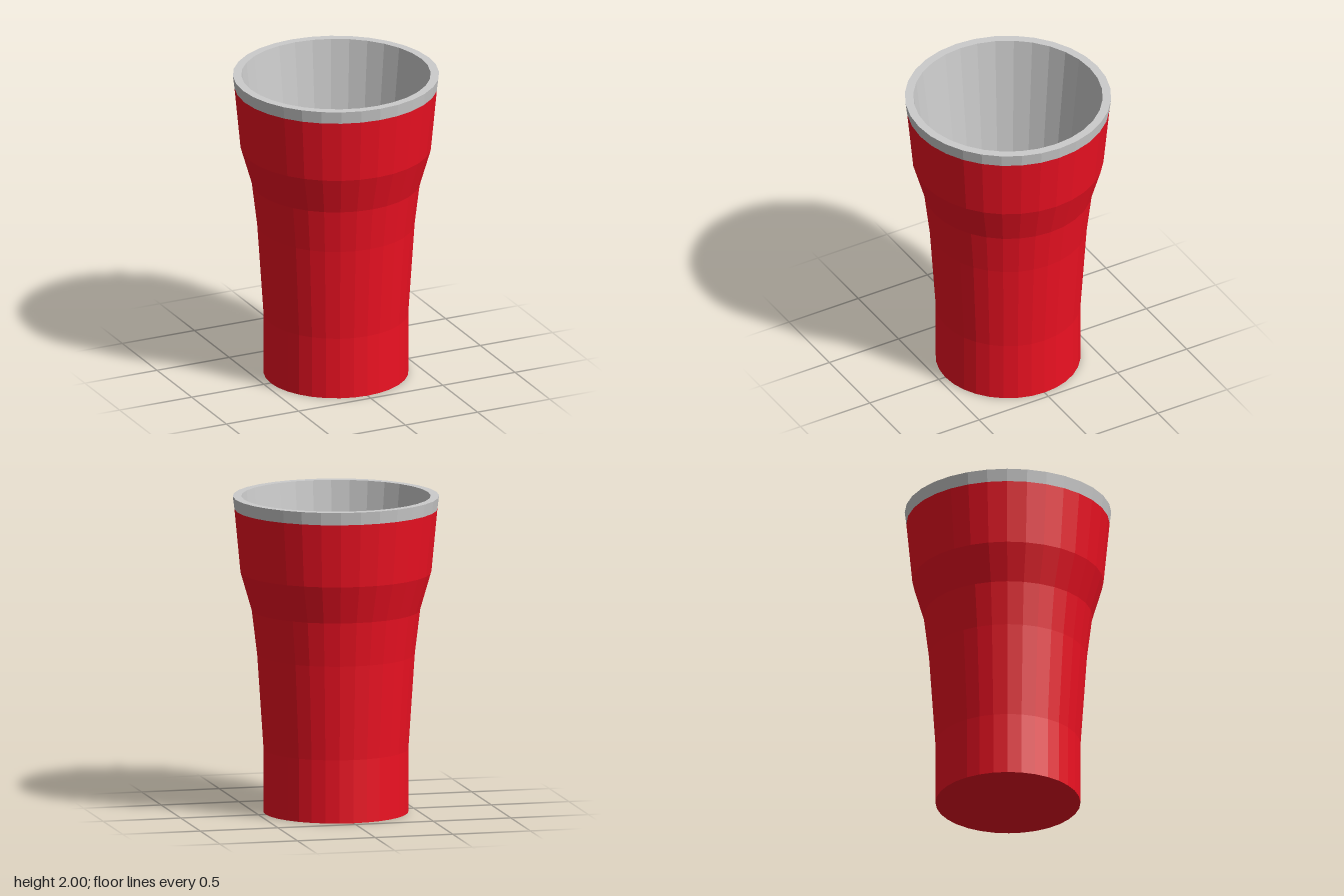
import * as THREE from 'three';

const SIDES = 32;

// Revolves a [radius, height] profile into a faceted part
function turned(name, color, profile) {
  const points = profile.map(([r, y]) => new THREE.Vector2(r, y));
  const material = new THREE.MeshStandardMaterial({ color, flatShading: true });
  const mesh = new THREE.Mesh(new THREE.LatheGeometry(points, SIDES), material);
  mesh.name = name;
  return mesh;
}

export function createModel() {
  const cup = new THREE.Group();
  cup.name = 'cup';

  // Closed base and flared outer wall
  cup.add(turned('outerWall', 0xee1122, [
    [0, 0], [0.453, 0], [0.453, 0.4], [0.493, 1], [0.527, 1.28], [0.597, 1.52], [0.635, 1.92],
  ]));

  // Grey band around the mouth with its flat top edge
  cup.add(turned('rim', 0xcccccc, [[0.635, 1.92], [0.645, 2], [0.592, 2]]));

  // Tapered inside wall and floor
  cup.add(turned('innerWall', 0xcccccc, [[0.592, 2], [0.37, 0.08], [0, 0.08]]));

  return cup;
}
